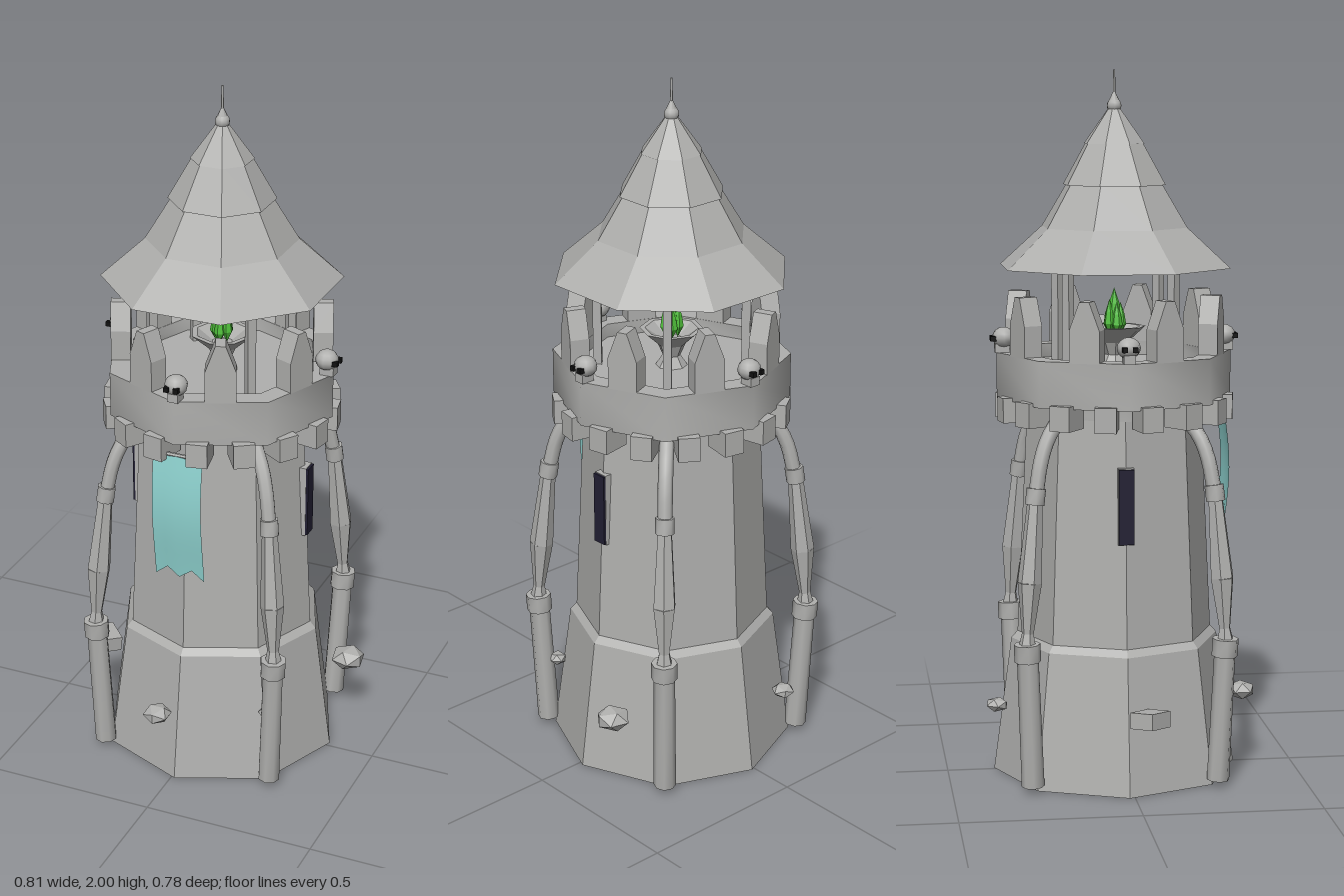
import * as THREE from 'three';
import { toCreasedNormals } from 'three/addons/utils/BufferGeometryUtils.js';

const mat = (name, color) => {
  const m = new THREE.MeshStandardMaterial({ color, side: THREE.DoubleSide });
  m.name = name;
  return m;
};

const V = (x, y, z = 0) => new THREE.Vector3(x, y, z);

// Hard-edged normals below the given crease angle
const crease = (geo, angle = 0.1) => toCreasedNormals(geo, angle);

const lathe = (pts, sides) =>
  new THREE.LatheGeometry(pts.map(([r, y]) => new THREE.Vector2(r, y)), sides);

function add(parent, name, geo, material, x = 0, y = 0, z = 0) {
  const m = new THREE.Mesh(geo, material);
  m.name = name;
  m.position.set(x, y, z);
  parent.add(m);
  return m;
}

// Groups turned about the tower axis; in each one +z points outward
function around(parent, name, n, offset, build) {
  for (let i = 0; i < n; i++) {
    const g = new THREE.Group();
    g.name = name;
    g.rotation.y = offset + (i * Math.PI * 2) / n;
    build(g, i);
    parent.add(g);
  }
}

// Round bar between two points
function rod(parent, name, a, b, ra, rb, material, sides = 8) {
  const geo = crease(new THREE.CylinderGeometry(rb, ra, a.distanceTo(b), sides), 0.9);
  const m = add(parent, name, geo, material);
  m.position.copy(a).lerp(b, 0.5);
  m.quaternion.setFromUnitVectors(V(0, 1, 0), b.clone().sub(a).normalize());
  return m;
}

export function createModel() {
  const stone = mat('stone grey', 0xb0b0ae);
  const cloth = mat('banner teal', 0x8fd3d0);
  const green = mat('flame green', 0x4fbf3a);
  const dark = mat('window dark', 0x221f33);
  const black = mat('eye black', 0x111111);

  const model = new THREE.Group();
  model.name = 'tower';
  const t = new THREE.Group();
  t.name = 'towerParts';
  t.position.set(0.01, 0, -0.015);
  model.add(t);

  // Octagonal wall with a sloped foot, open below
  add(t, 'towerWall', crease(lathe(
    [[0.35, 0], [0.298, 0.385], [0.28, 0.405], [0.25, 1.04]], 8)), stone);

  // Gallery: underside, parapet band and floor
  add(t, 'gallery', crease(lathe(
    [[0.25, 1.03], [0.25, 1.07], [0.335, 1.08], [0.335, 1.21],
      [0.275, 1.21], [0.275, 1.17], [0, 1.17]], 8), 0.9), stone);

  // Corbels under the gallery
  around(t, 'corbel', 16, Math.PI / 16, (g) => {
    add(g, 'corbelBlock', new THREE.BoxGeometry(0.06, 0.07, 0.09), stone, 0, 1.055, 0.292);
  });

  // Pointed merlons
  const point = new THREE.Shape([[-0.043, 0], [0.043, 0], [0.043, 0.09], [0.014, 0.168],
    [-0.014, 0.168], [-0.043, 0.09]].map(([x, y]) => new THREE.Vector2(x, y)));
  const merlonGeo = new THREE.ExtrudeGeometry(point, { depth: 0.055, bevelEnabled: false });
  around(t, 'merlon', 8, Math.PI / 8, (g) => {
    add(g, 'merlonBlock', merlonGeo, stone, 0, 1.207, 0.255);
  });

  // Skulls looking out over the four corners of the parapet
  around(t, 'skull', 4, 0, (g) => {
    add(g, 'skullHead', new THREE.SphereGeometry(0.033, 10, 8), stone, 0, 1.252, 0.315).scale.y = 0.9;
    add(g, 'skullJaw', new THREE.BoxGeometry(0.032, 0.025, 0.04), stone, 0, 1.222, 0.32);
    for (const s of [-1, 1]) {
      add(g, 'skullEye', new THREE.BoxGeometry(0.014, 0.014, 0.02), black, s * 0.014, 1.25, 0.343);
    }
  });

  // Posts carrying the roof
  around(t, 'roofPost', 4, Math.PI / 4, (g) => {
    add(g, 'post', new THREE.BoxGeometry(0.024, 0.36, 0.024), stone, 0, 1.34, 0.208);
  });

  // Overlapping roof tiers: bottom radius, bottom y, top radius, top y
  const tiers = [[0.338, 1.45, 0.206, 1.568], [0.214, 1.56, 0.136, 1.688],
    [0.15, 1.68, 0.08, 1.803], [0.088, 1.795, 0.012, 1.9]];
  for (const [r0, y0, r1, y1] of tiers) {
    add(t, 'roofTier', crease(lathe([[r0, y0], [r1, y1]], 8)), stone).rotation.y = Math.PI / 8;
  }

  // Finial
  add(t, 'finialBall', new THREE.SphereGeometry(0.021, 10, 8), stone, 0, 1.9, 0);
  add(t, 'finialCone', new THREE.CylinderGeometry(0.004, 0.018, 0.03, 8), stone, 0, 1.922, 0);
  add(t, 'finialSpike', new THREE.CylinderGeometry(0.003, 0.004, 0.08, 6), stone, 0, 1.96, 0);

  // Brazier and its green flame
  add(t, 'brazierBowl', crease(lathe(
    [[0, 1.17], [0.045, 1.17], [0.025, 1.2], [0.04, 1.235], [0.09, 1.28],
      [0.075, 1.28], [0.03, 1.25], [0, 1.25]], 8)), stone);
  const tongue = crease(lathe([[0, 0], [0.022, 0.04], [0.015, 0.08], [0, 0.125]], 6));
  add(t, 'flameCore', tongue, green, 0, 1.265, 0);
  around(t, 'flame', 5, 0, (g, i) => {
    const f = add(g, 'flameTongue', tongue, green, 0, 1.255, 0.018);
    f.scale.set(0.75, 0.75 + 0.08 * (i % 2), 0.75);
  });

  // Leaning buttress columns on the diagonals
  around(t, 'buttress', 4, Math.PI / 4, (g) => {
    const p = (r, y) => V(0, y, r);
    rod(g, 'lowerColumn', p(0.37, 0.02), p(0.391, 0.4), 0.032, 0.03, stone);
    rod(g, 'lowerCollar', p(0.39, 0.38), p(0.393, 0.43), 0.037, 0.037, stone);
    rod(g, 'waist', p(0.392, 0.42), p(0.39, 0.46), 0.025, 0.016, stone, 6);
    rod(g, 'midLower', p(0.39, 0.455), p(0.38, 0.6), 0.016, 0.034, stone, 6);
    rod(g, 'midUpper', p(0.38, 0.6), p(0.355, 0.83), 0.034, 0.021, stone, 6);
    rod(g, 'upperCollar', p(0.357, 0.815), p(0.35, 0.86), 0.027, 0.027, stone);
    const arm = new THREE.CatmullRomCurve3(
      [p(0.35, 0.85), p(0.33, 0.93), p(0.3, 0.99), p(0.25, 1.04)]);
    add(g, 'upperArm', new THREE.TubeGeometry(arm, 8, 0.021, 8), stone);
  });

  // Narrow windows on both sides
  for (const s of [-1, 1]) {
    add(t, 'windowFrame', new THREE.BoxGeometry(0.035, 0.215, 0.044), stone, s * 0.25, 0.805, 0);
    add(t, 'windowSlit', new THREE.BoxGeometry(0.008, 0.21, 0.042), dark, s * 0.27, 0.805, 0);
  }

  // Swallow-tailed banner, bowed in a gentle wave
  const banner = new THREE.PlaneGeometry(0.148, 0.39, 4, 10);
  const pos = banner.attributes.position;
  for (let i = 0; i < pos.count; i++) {
    const u = pos.getX(i) / 0.074;
    const v = 0.5 - pos.getY(i) / 0.39;
    const tail = [0, 0.03, 0.005, 0.03, 0][Math.round((u + 1) * 2)];
    pos.setY(i, pos.getY(i) + tail * v ** 4);
    pos.setZ(i, 0.014 * Math.sin(v * Math.PI * 1.25) + 0.003 * Math.cos(u * Math.PI));
  }
  banner.computeVertexNormals();
  add(t, 'banner', banner, cloth, 0, 0.84, 0.31);
  rod(t, 'bannerRod', V(-0.065, 1.035, 0.308), V(0.065, 1.035, 0.308), 0.006, 0.006, stone, 6);

  // Stones jutting from the foot: x, z, radius, height scale
  const rocks = [[-0.035, 0.35, 0.042, 0.65], [0.36, -0.155, 0.052, 0.65],
    [-0.11, -0.365, 0.034, 0.6], [0.255, 0.22, 0.028, 0.7]];
  rocks.forEach(([x, z, r, sy], i) => {
    const m = add(model, 'rock', new THREE.IcosahedronGeometry(r, 0), stone, x, 0.22, z);
    m.scale.y = sy;
    m.rotation.y = i * 1.3;
  });
  const brick = add(model, 'brick', new THREE.BoxGeometry(0.075, 0.045, 0.085), stone, -0.35, 0.225, 0.04);
  brick.rotation.set(0, 0.8, -0.12, 'ZYX');

  return model;
}
